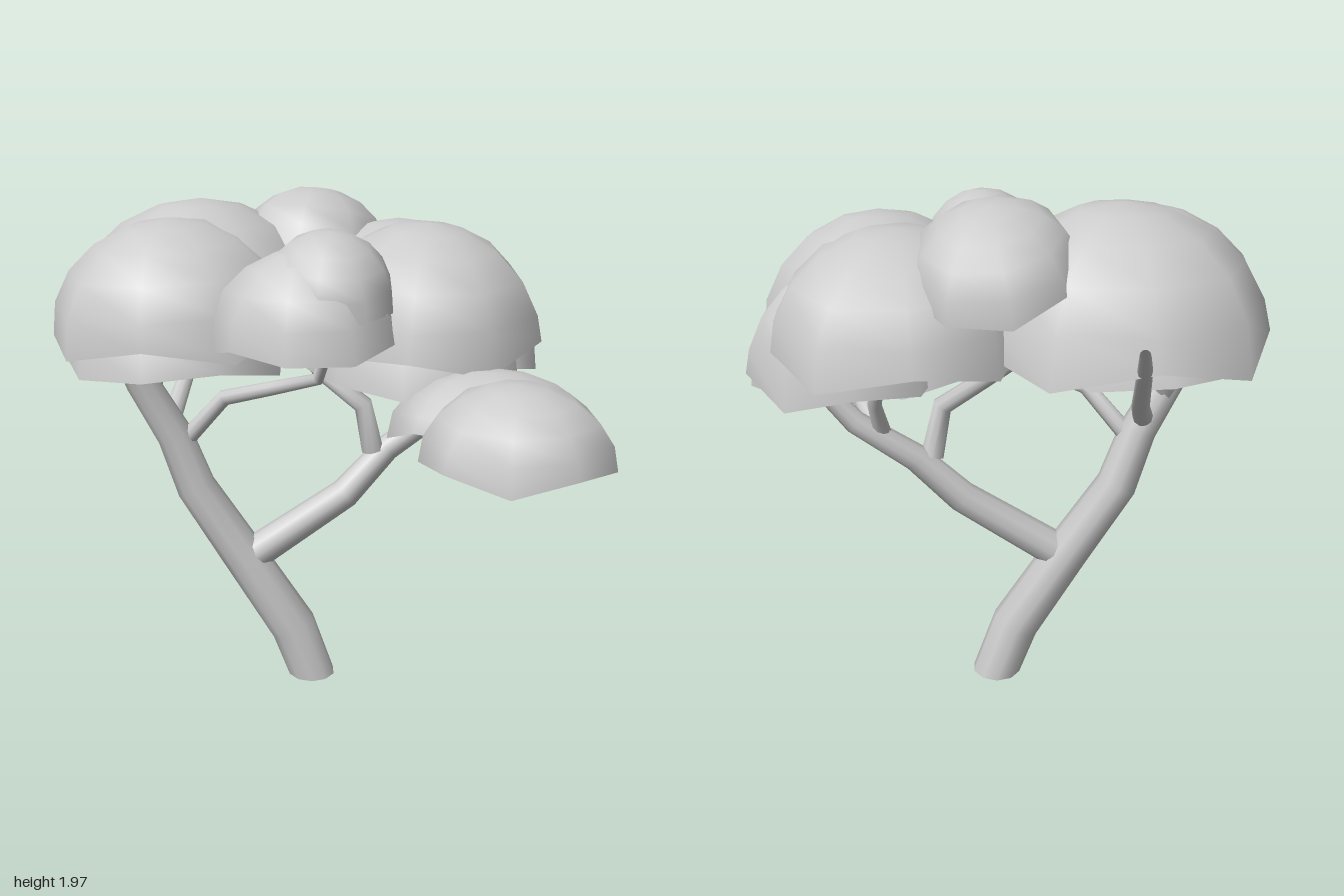
import * as THREE from 'three';

const bark = new THREE.MeshStandardMaterial({ color: 0xcccccc, side: THREE.DoubleSide });
const leaf = new THREE.MeshStandardMaterial({ color: 0xcccccc, side: THREE.DoubleSide });

// Tapering, kinked limb with one ring per point, radius r0 at the start and r1 at the end
function limb(name, points, r0, r1) {
  const curve = new THREE.CatmullRomCurve3(points.map(p => new THREE.Vector3(...p)));
  curve.getPointAt = curve.getPoint; // rings sit exactly on the points
  curve.getTangentAt = curve.getTangent;
  const rings = points.length - 1, sides = 10;
  const geo = new THREE.TubeGeometry(curve, rings, 1, sides, false);
  const pos = geo.attributes.position, v = new THREE.Vector3();
  for (let i = 0; i < pos.count; i++) {
    const t = Math.floor(i / (sides + 1)) / rings;
    const c = curve.getPoint(t);
    v.fromBufferAttribute(pos, i).sub(c).multiplyScalar(r0 + (r1 - r0) * t).add(c);
    if (points[0][1] === 0 && t === 0) v.y = 0; // flat foot of the trunk
    pos.setXYZ(i, v.x, v.y, v.z);
  }
  const mesh = new THREE.Mesh(geo, bark);
  mesh.name = name;
  return mesh;
}

// Open dome of foliage with an uneven rim
function foliage(k, [x, y, z, rx, h, rz, tiltX = 0, tiltZ = 0]) {
  const sides = 9, rows = 5;
  const geo = new THREE.SphereGeometry(1, sides, rows, 0, Math.PI * 2, 0, Math.PI / 2);
  const pos = geo.attributes.position;
  for (let i = 0; i < pos.count; i++) {
    const col = i % (sides + 1) % sides, row = Math.floor(i / (sides + 1));
    const grow = 1.02 + 0.035 * Math.sin(col * 2.4 + k * 1.7) * row / rows;
    const drop = row === rows ? 0.09 * Math.sin(col * 3.7 + k) : 0;
    pos.setXYZ(i, pos.getX(i) * rx * grow, (pos.getY(i) + drop) * h, pos.getZ(i) * rz * grow);
  }
  geo.computeVertexNormals();
  // Share normals across the seam and at the crown
  const n = geo.attributes.normal, v = new THREE.Vector3(), w = new THREE.Vector3();
  for (let row = 0; row <= rows; row++) {
    const a = row * (sides + 1), b = a + sides;
    v.fromBufferAttribute(n, a).add(w.fromBufferAttribute(n, b)).normalize();
    n.setXYZ(a, v.x, v.y, v.z);
    n.setXYZ(b, v.x, v.y, v.z);
  }
  for (let i = 0; i <= sides; i++) n.setXYZ(i, 0, 1, 0);
  const mesh = new THREE.Mesh(geo, leaf);
  mesh.name = 'foliageDome';
  mesh.position.set(x, y, z);
  mesh.rotation.set(tiltX, 0, tiltZ);
  return mesh;
}

export function createModel() {
  const tree = new THREE.Group();
  tree.name = 'tree';

  // Trunk and limbs
  const wood = new THREE.Group();
  wood.name = 'wood';
  wood.add(
    limb('trunk', [[-0.025, 0, -0.115], [-0.1, 0.21, -0.11], [-0.3, 0.53, -0.1], [-0.485, 0.82, -0.1], [-0.56, 1.04, -0.08], [-0.68, 1.26, -0.06], [-0.74, 1.42, -0.02]], 0.102, 0.055),
    limb('mainBranch', [[-0.25, 0.54, -0.1], [0.11, 0.78, -0.13], [0.28, 0.96, -0.17], [0.5, 1.11, -0.19], [0.66, 1.3, -0.2]], 0.07, 0.035),
    limb('backBranch', [[-0.58, 1.08, -0.07], [-0.53, 1.24, -0.36], [-0.49, 1.5, -0.74], [-0.47, 1.6, -0.88]], 0.04, 0.018),
    limb('leftShoot', [[-0.65, 1.2, -0.08], [-0.64, 1.32, -0.14], [-0.52, 1.5, -0.24]], 0.05, 0.025),
    limb('innerBranch', [[-0.51, 1.03, -0.08], [-0.36, 1.2, -0.04], [-0.18, 1.25, 0.02], [0, 1.31, 0.12], [0.05, 1.5, 0.25]], 0.035, 0.02),
    limb('crossBranch', [[0.22, 0.96, -0.15], [0.18, 1.15, -0.12], [0.02, 1.27, -0.16], [-0.1, 1.38, -0.26], [-0.08, 1.65, -0.36]], 0.045, 0.02),
    limb('rightShoot', [[0.4, 1.05, -0.17], [0.42, 1.2, -0.25], [0.38, 1.42, -0.36]], 0.035, 0.018),
    limb('frontBranch', [[0.42, 1.06, -0.16], [0.5, 1.14, 0], [0.58, 1.17, 0.22], [0.66, 1.2, 0.52]], 0.04, 0.018),
  );
  tree.add(wood);

  // Foliage: x, rim y, z, x radius, height, z radius, tilts (domes lean outwards)
  const clusters = {
    leftFoliage: [
      [-0.53, 1.48, -0.02, 0.46, 0.41, 0.44, 0.1, 0.06],
      [-0.45, 1.45, -0.25, 0.51, 0.49, 0.51],
      [-0.55, 1.34, -0.08, 0.42, 0.38, 0.4],
    ],
    topFoliage: [
      [-0.02, 1.71, -0.4, 0.3, 0.26, 0.35, -0.2, -0.1],
    ],
    frontFoliage: [
      [0.03, 1.63, 0.31, 0.24, 0.25, 0.25, 0.2, -0.04],
      [-0.05, 1.48, 0.33, 0.33, 0.34, 0.28, 0.05],
    ],
    rightFoliage: [
      [0.39, 1.45, -0.06, 0.44, 0.42, 0.46, 0.12, -0.04],
      [0.32, 1.46, -0.28, 0.46, 0.4, 0.47, -0.06],
      [0.52, 1.32, -0.2, 0.35, 0.4, 0.35, -0.06],
      [0.37, 1.3, -0.04, 0.4, 0.37, 0.38],
    ],
    lowFoliage: [
      [0.66, 1.14, 0.57, 0.33, 0.26, 0.31, 0.08],
      [0.62, 1.15, 0.32, 0.37, 0.24, 0.3, -0.16, -0.03],
    ],
  };
  let k = 0;
  for (const [name, domes] of Object.entries(clusters)) {
    const group = new THREE.Group();
    group.name = name;
    domes.forEach(d => group.add(foliage(k++, d)));
    tree.add(group);
  }
  return tree;
}
